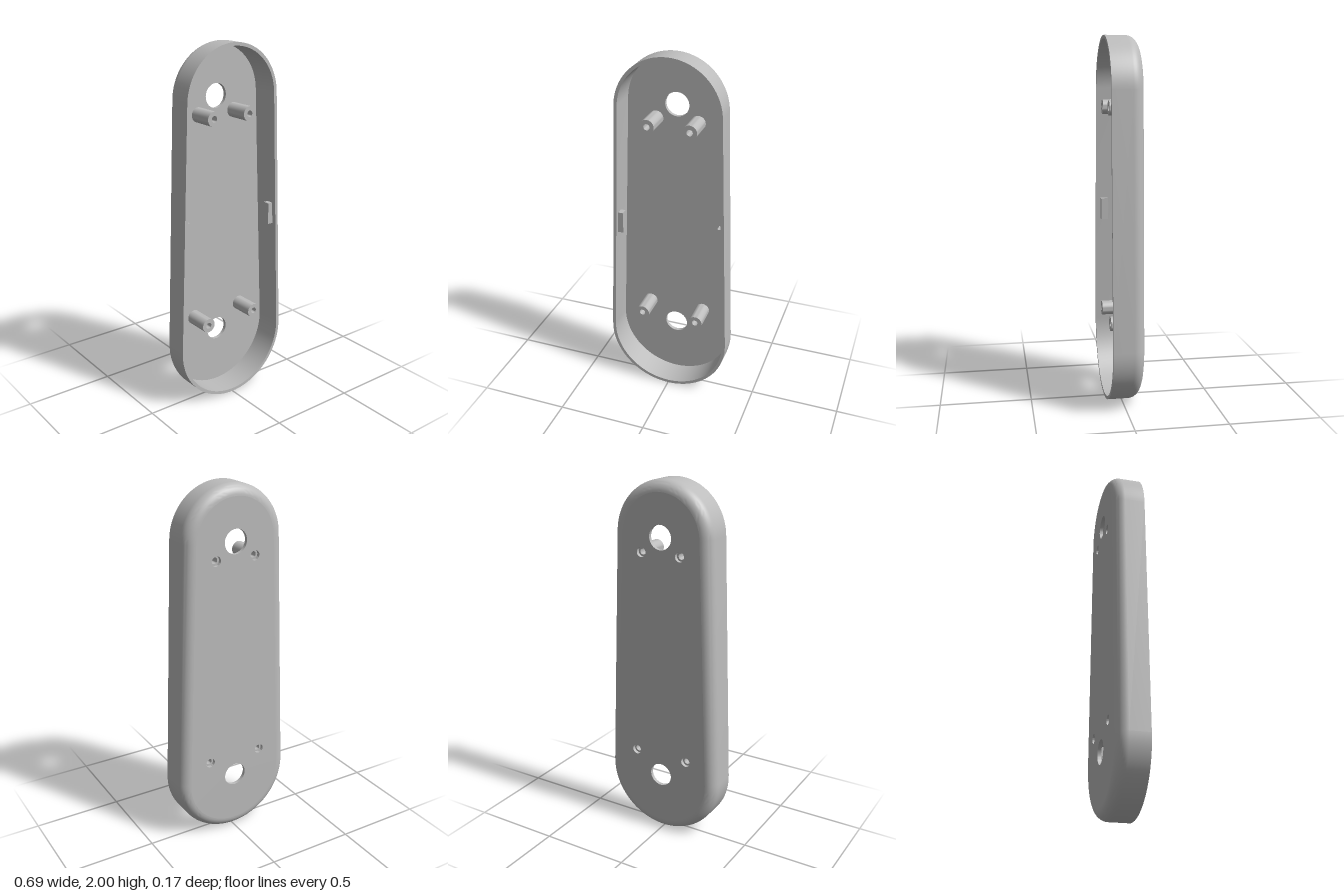
import * as THREE from 'three';
import { toCreasedNormals } from 'three/addons/utils/BufferGeometryUtils.js';

const BOTTOM = { y: 0.345, r: 0.345 }, TOP = { y: 1.71, r: 0.29 };
const BACK = -0.087, FLOOR = -0.067, RIM = 0.086, WALL = 0.018, FILLET = 0.06;
const SCREWS = [[-0.116, 1.622], [0.116, 1.622], [-0.16, 0.468], [0.16, 0.468]];

// Tapered capsule outline, moved inwards by inset
function outline(inset) {
  const tilt = Math.asin((BOTTOM.r - TOP.r) / (TOP.y - BOTTOM.y));
  const points = [], n = 48;
  const arc = (c, from, to) => {
    for (let i = 0; i <= n; i++) {
      const a = from + (to - from) * i / n;
      points.push(new THREE.Vector2(Math.cos(a) * (c.r - inset), c.y + Math.sin(a) * (c.r - inset)));
    }
  };
  arc(TOP, tilt, Math.PI - tilt);
  arc(BOTTOM, Math.PI - tilt, 2 * Math.PI + tilt);
  return points;
}

// Sweep a wall profile of [inset, z] pairs round the outline
function sweepWall(profile) {
  const positions = [], index = [];
  const count = outline(0).length;
  profile.forEach(([inset, z]) => outline(inset).forEach(p => positions.push(p.x, p.y, z)));
  for (let i = 0; i < profile.length - 1; i++) {
    for (let j = 0; j < count; j++) {
      const k = (j + 1) % count;
      const a = i * count + j, b = a + count, c = (i + 1) * count + k, d = i * count + k;
      index.push(a, b, c, a, c, d);
    }
  }
  const g = new THREE.BufferGeometry();
  g.setAttribute('position', new THREE.Float32BufferAttribute(positions, 3));
  g.setIndex(index);
  return toCreasedNormals(g, 0.6);
}

export function createModel() {
  const model = new THREE.Group();
  model.name = 'coverShell';
  const grey = new THREE.MeshStandardMaterial({ color: 0xbcbcbc });
  grey.name = 'light grey';
  const add = (name, geometry) => {
    const mesh = new THREE.Mesh(geometry, grey);
    mesh.name = name;
    model.add(mesh);
    return mesh;
  };

  // Side wall with flat rim and rounded back edge
  const profile = [[FILLET, FLOOR], [WALL, FLOOR], [WALL, RIM], [0, RIM]];
  for (let i = 0; i <= 10; i++) {
    const a = i / 10 * Math.PI / 2;
    profile.push([FILLET * (1 - Math.cos(a)), BACK + FILLET * (1 - Math.sin(a))]);
  }
  add('sideWall', sweepWall(profile));

  // Back plate with two large holes and four counterbores
  const plate = new THREE.Shape(outline(FILLET));
  const hole = (x, y, r) => plate.holes.push(new THREE.Path().absarc(x, y, r, 0, Math.PI * 2, true));
  hole(0, TOP.y, 0.066);
  hole(0, BOTTOM.y + 0.003, 0.066);
  SCREWS.forEach(([x, y]) => hole(x, y, 0.027));
  const plateGeometry = new THREE.ExtrudeGeometry(plate, {
    depth: FLOOR - BACK, bevelEnabled: false, curveSegments: 24,
  });
  plateGeometry.translate(0, 0, BACK);
  add('backPlate', toCreasedNormals(plateGeometry, 0.6));

  // Hollow screw posts
  const h = 0.142;
  const section = [[0.017, 0], [0.04, 0], [0.04, h], [0.017, h], [0.017, 0]];
  const post = toCreasedNormals(
    new THREE.LatheGeometry(section.map(([r, y]) => new THREE.Vector2(r, y)), 32), 0.6);
  post.rotateX(Math.PI / 2);
  SCREWS.forEach(([x, y]) => add('screwPost', post).position.set(x, y, FLOOR));

  // Small snap ribs on the inner side walls
  for (const side of [-1, 1]) {
    add('snapRib', new THREE.BoxGeometry(0.036, 0.122, 0.04)).position.set(side * 0.288, 1.03, 0.04);
  }
  return model;
}
